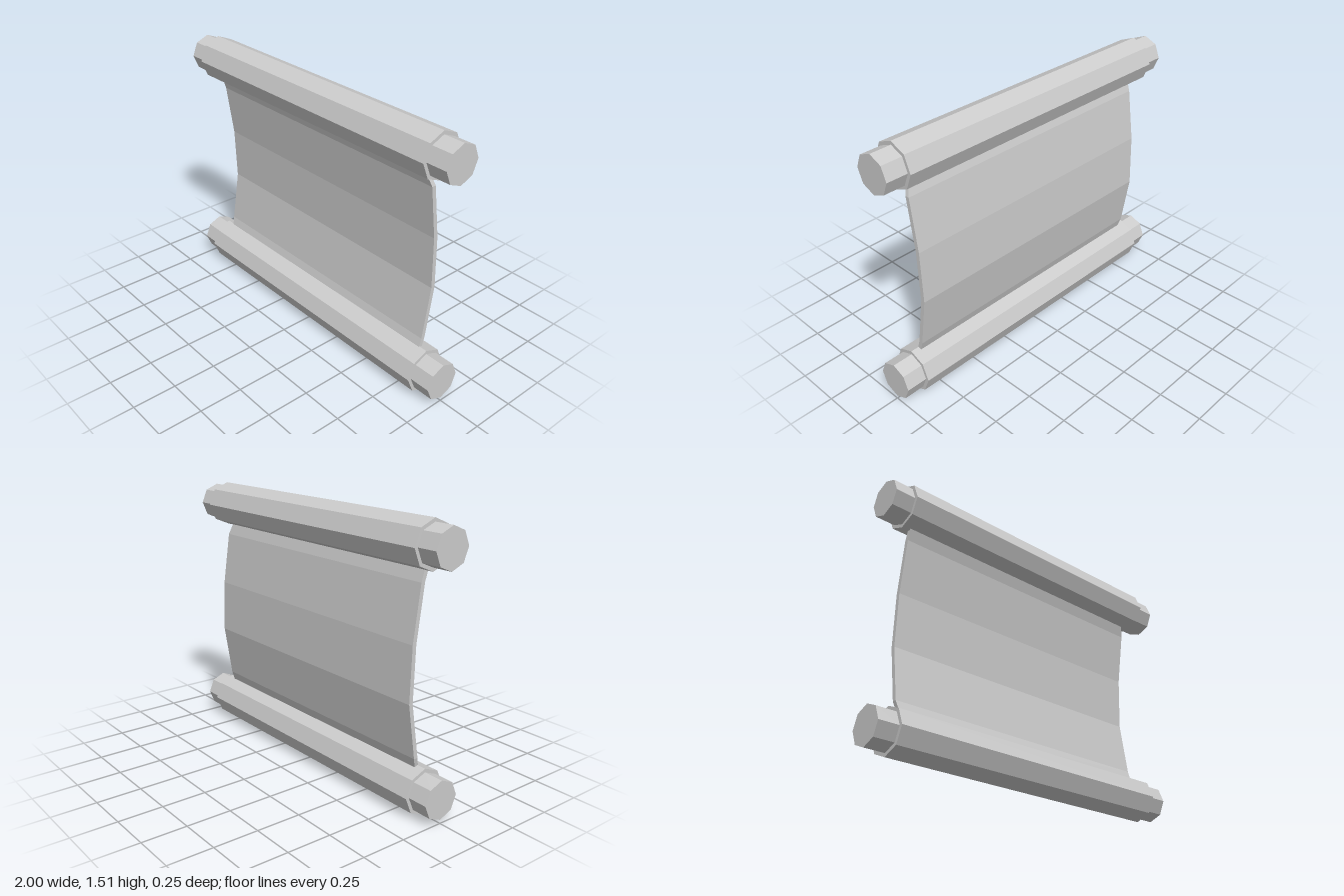
import * as THREE from 'three';

export function createModel() {
  const model = new THREE.Group();
  const grey = new THREE.MeshStandardMaterial({ color: 0xcccccc, flatShading: true });
  grey.name = 'plain grey';

  // eight-sided bar lying along x, from x0 to x1
  function bar(name, radius, x0, x1) {
    const geometry = new THREE.CylinderGeometry(radius, radius, x1 - x0, 8);
    geometry.rotateZ(Math.PI / 2).translate((x0 + x1) / 2, 0, 0);
    const mesh = new THREE.Mesh(geometry, grey);
    mesh.name = name;
    return mesh;
  }

  // rollers, each a thick bar with a thinner stub at both ends
  for (const [name, y] of [['lowerRoller', 0.128], ['upperRoller', 1.383]]) {
    const roller = new THREE.Group();
    roller.name = name;
    roller.position.y = y;
    roller.add(
      bar('rollerBody', 0.127, -0.885, 0.88),
      bar('rightHandle', 0.107, -1, -0.885),
      bar('leftHandle', 0.107, 0.88, 1)
    );
    model.add(roller);
  }

  // bowed sheet: rows of [y, z centre, right edge, left edge], bottom to top
  const rows = [
    [0.2, 0.008, -0.82, 0.83],
    [0.3, -0.023, -0.84, 0.83],
    [0.6, -0.07, -0.84, 0.83],
    [0.9, -0.06, -0.84, 0.83],
    [1.2, -0.017, -0.84, 0.83],
    [1.32, 0.02, -0.84, 0.79],
  ];
  const thickness = 0.024;
  const geometry = new THREE.BoxGeometry(1, 1, 1, 1, rows.length - 1, 1);
  const p = geometry.attributes.position;
  for (let i = 0; i < p.count; i++) {
    const [y, z, right, left] = rows[Math.round((p.getY(i) + 0.5) * (rows.length - 1))];
    p.setXYZ(i, p.getX(i) < 0 ? right : left, y, z + p.getZ(i) * thickness);
  }
  geometry.computeVertexNormals();
  const sheet = new THREE.Mesh(geometry, grey);
  sheet.name = 'sheet';
  model.add(sheet);

  return model;
}
